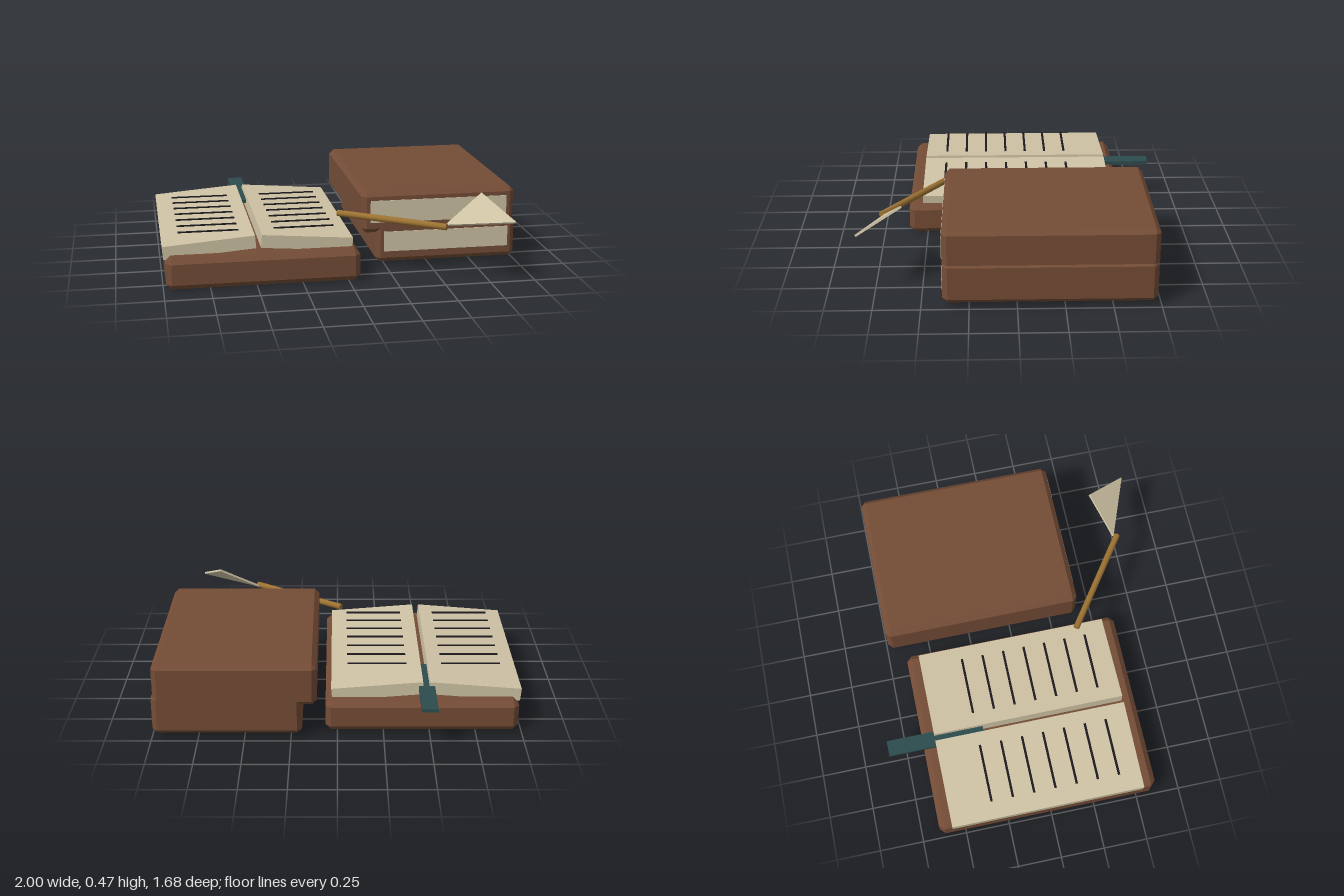
import * as THREE from 'three';
import { ConvexGeometry } from 'three/addons/geometries/ConvexGeometry.js';

const mat = (name, color) => {
  const m = new THREE.MeshStandardMaterial({ color });
  m.name = name;
  return m;
};

// Box between two corners with every edge cut by c
function chamferBox(x0, x1, y0, y1, z0, z1, c) {
  const h = [(x1 - x0) / 2, (y1 - y0) / 2, (z1 - z0) / 2];
  const pts = [];
  for (const sx of [-1, 1]) for (const sy of [-1, 1]) for (const sz of [-1, 1])
    for (let full = 0; full < 3; full++) {
      const d = h.map((v, i) => (i === full ? v : v - c));
      pts.push(new THREE.Vector3(sx * d[0], sy * d[1], sz * d[2]));
    }
  return new ConvexGeometry(pts).translate((x0 + x1) / 2, (y0 + y1) / 2, (z0 + z1) / 2);
}

export function createModel() {
  const root = new THREE.Group();
  root.name = 'booksAndQuill';
  const leather = mat('leather', 0x744c36);
  const paper = mat('paper', 0xcfc3a5);
  const ink = mat('ink', 0x1c1a1e);
  const ribbon = mat('ribbon', 0x2c4c4e);
  const brass = mat('brass', 0x9c7232);

  const add = (parent, name, geometry, material, x = 0, y = 0, z = 0) => {
    const mesh = new THREE.Mesh(geometry, material);
    mesh.name = name;
    mesh.position.set(x, y, z);
    parent.add(mesh);
    return mesh;
  };
  const group = (name) => {
    const g = new THREE.Group();
    g.name = name;
    root.add(g);
    return g;
  };

  // Open book: cover, two tilted page blocks, ruled lines and bookmark
  const open = group('openBook');
  add(open, 'openCover', chamferBox(-0.985, 0.065, 0.005, 0.18, -0.645, 0.605, 0.03), leather);
  const lineGeo = new THREE.BoxGeometry(0.33, 0.006, 0.013);
  for (const side of [-1, 1]) {
    const label = side < 0 ? 'right' : 'left';
    const page = add(open, label + 'Pages', new THREE.BoxGeometry(0.5, 0.072, 1.098), paper,
      -0.483 + side * 0.265, 0.212, -0.023);
    page.rotation.z = -side * 0.08;
    for (let i = 0; i < 7; i++)
      add(open, label + 'TextLine', lineGeo, ink, -0.482 + side * 0.262, 0.267, -0.33 + i * 0.1215);
  }
  add(open, 'bookmark', new THREE.BoxGeometry(0.088, 0.02, 0.55), ribbon, -0.485, 0.234, -0.567);

  // Two closed books, stacked, with the page edges showing at the front
  const stack = group('closedBooks');
  add(stack, 'lowerCover', chamferBox(0.19, 0.995, 0.03, 0.265, -0.73, 0.388, 0.027), leather);
  add(stack, 'upperCover', chamferBox(0.11, 0.985, 0.203, 0.44, -0.732, 0.388, 0.027), leather);
  add(stack, 'lowerPageEdge', new THREE.BoxGeometry(0.715, 0.115, 0.009), paper, 0.593, 0.153, 0.387);
  add(stack, 'upperPageEdge', new THREE.BoxGeometry(0.78, 0.126, 0.009), paper, 0.548, 0.328, 0.387);

  // Quill: level shaft and a thin triangular vane
  const quill = group('quill');
  const from = new THREE.Vector3(-0.022, 0.323, 0.355);
  const to = new THREE.Vector3(0.503, 0.323, 0.725);
  const dir = to.clone().sub(from);
  const shaft = add(quill, 'quillShaft', new THREE.CylinderGeometry(0.018, 0.018, dir.length(), 12), brass);
  shaft.position.copy(from).lerp(to, 0.5);
  shaft.quaternion.setFromUnitVectors(new THREE.Vector3(0, 1, 0), dir.normalize());

  const vane = [[0.5, 0.324, 0.7], [0.727, 0.467, 0.599], [0.853, 0.36, 0.833]]
    .map((p) => new THREE.Vector3(...p));
  const normal = new THREE.Triangle(...vane).getNormal(new THREE.Vector3());
  const vanePts = [-0.006, 0.006].flatMap((t) => vane.map((p) => p.clone().addScaledVector(normal, t)));
  add(quill, 'quillVane', new ConvexGeometry(vanePts), paper);

  return root;
}
